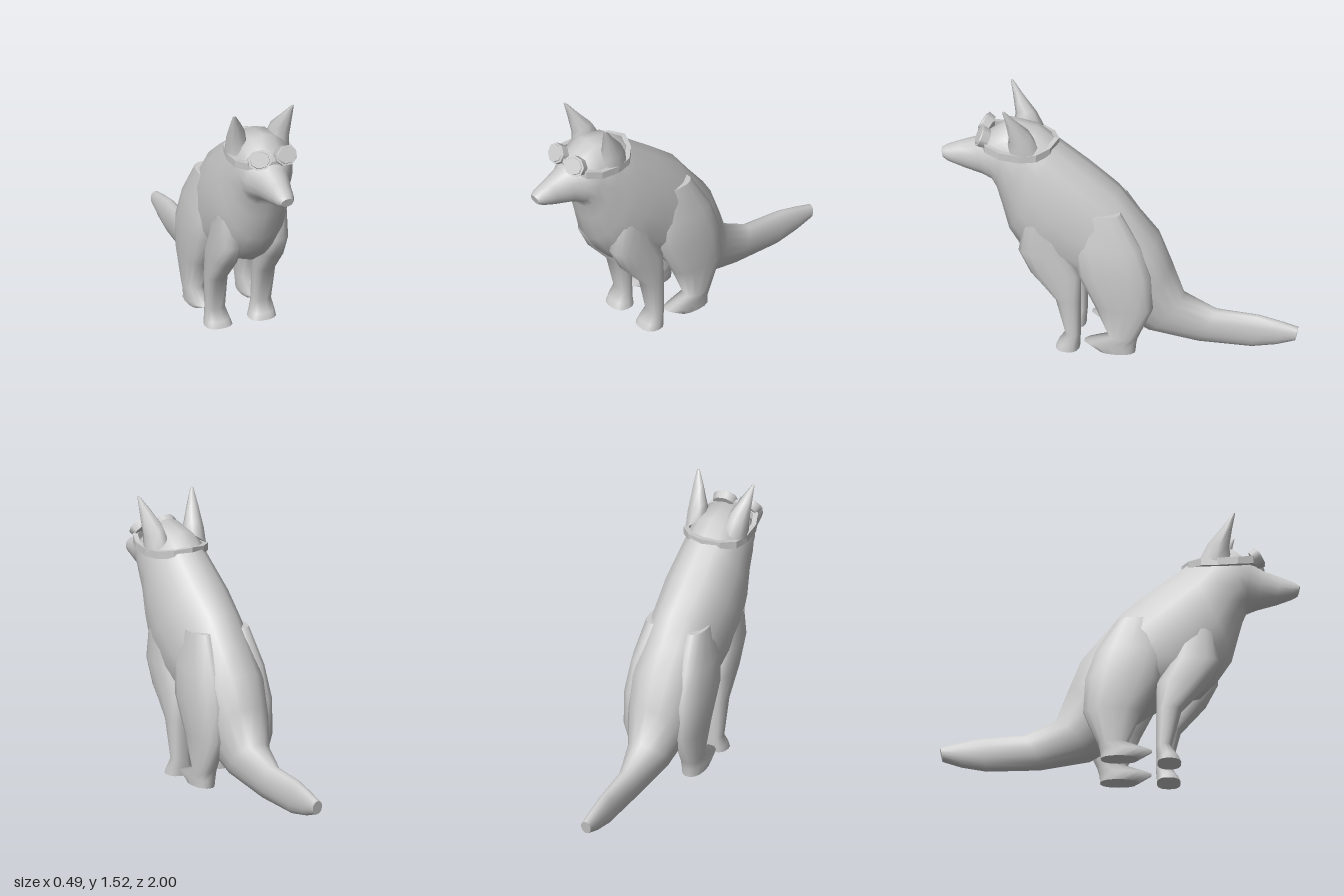
import * as THREE from 'three';

const SEG = 14;
const material = new THREE.MeshStandardMaterial({ color: 0xcccccc, side: THREE.DoubleSide });
const vec = (a) => new THREE.Vector3(...a);

// Skin over rings { c, u, v }: centre and two half-axes; power < 1 squares the ring off
function loft(name, rings, power = 0.9, seg = SEG) {
  const pos = [], idx = [];
  const bend = (t) => Math.sign(t) * Math.pow(Math.abs(t), power);
  const addRing = ({ c, u, v }) => {
    for (let j = 0; j < seg; j++) {
      const a = (j / seg) * Math.PI * 2;
      const p = vec(c).addScaledVector(vec(u), bend(Math.cos(a))).addScaledVector(vec(v), bend(Math.sin(a)));
      pos.push(p.x, p.y, p.z);
    }
  };
  rings.forEach(addRing);
  for (let i = 0; i < rings.length - 1; i++) {
    for (let j = 0; j < seg; j++) {
      const a = i * seg + j, b = i * seg + ((j + 1) % seg);
      idx.push(a, a + seg, b, b, a + seg, b + seg);
    }
  }
  // End caps with their own vertices
  [rings[0], rings[rings.length - 1]].forEach((ring, end) => {
    const base = pos.length / 3;
    addRing(ring);
    pos.push(...ring.c);
    for (let j = 0; j < seg; j++) {
      const a = base + j, b = base + ((j + 1) % seg);
      if (end) idx.push(base + seg, b, a);
      else idx.push(base + seg, a, b);
    }
  });
  const g = new THREE.BufferGeometry();
  g.setAttribute('position', new THREE.Float32BufferAttribute(pos, 3));
  g.setIndex(idx);
  g.computeVertexNormals();
  return named(name, g);
}

function named(name, geometry) {
  const mesh = new THREE.Mesh(geometry, material);
  mesh.name = name;
  return mesh;
}

// Ring from a point on the back line to one on the belly line: [topZ, topY, bottomZ, bottomY, halfWidth]
const spineRing = ([zt, yt, zb, yb, w]) => ({
  c: [0, (yt + yb) / 2, (zt + zb) / 2], u: [w, 0, 0], v: [0, (yt - yb) / 2, (zt - zb) / 2],
});
// The body's v axis points up, the legs' v axis points forward
// Ring across a leg: [y, innerX, outerX, backZ, frontZ, frontLift]
const legRing = (side) => ([y, xi, xo, zb, zf, lift = 0]) => ({
  c: [side * (xi + xo) / 2, y, (zb + zf) / 2], u: [(xo - xi) / 2, 0, 0], v: [0, lift, (zf - zb) / 2],
});

// Nose to tail tip
const BODY = [
  [1.0, 1.15, 0.985, 1.095, 0.035],
  [0.975, 1.168, 0.955, 1.078, 0.052],
  [0.9, 1.2, 0.87, 1.045, 0.068],
  [0.8, 1.235, 0.76, 1.015, 0.095],
  [0.73, 1.28, 0.7, 0.995, 0.14],
  [0.62, 1.365, 0.685, 0.95, 0.165],
  [0.46, 1.335, 0.66, 0.85, 0.182],
  [0.35, 1.25, 0.62, 0.69, 0.2],
  [0.17, 1.11, 0.55, 0.58, 0.22],
  [0.0, 0.97, 0.46, 0.48, 0.21],
  [-0.11, 0.82, 0.25, 0.42, 0.205],
  [-0.22, 0.68, 0.1, 0.32, 0.2],
  [-0.29, 0.5, 0.0, 0.19, 0.175],
  [-0.36, 0.31, -0.16, 0.085, 0.12],
  [-0.54, 0.228, -0.44, 0.022, 0.06],
  [-0.78, 0.21, -0.74, 0.01, 0.045],
  [-0.9, 0.18, -0.88, 0.035, 0.038],
  [-1.0, 0.15, -0.985, 0.07, 0.03],
];
const FRONT_LEG = [
  [0.004, 0.05, 0.21, 0.205, 0.34],
  [0.04, 0.062, 0.205, 0.205, 0.325],
  [0.1, 0.08, 0.195, 0.2, 0.285],
  [0.32, 0.08, 0.205, 0.2, 0.34],
  [0.48, 0.065, 0.212, 0.2, 0.48],
  [0.62, 0.06, 0.212, 0.27, 0.55],
  [0.8, 0.08, 0.205, 0.33, 0.52],
];
const HIND_LEG = [
  [0.015, 0.1, 0.215, -0.11, 0.1],
  [0.065, 0.09, 0.22, -0.115, 0.18],
  [0.11, 0.1, 0.215, -0.125, 0.04],
  [0.3, 0.08, 0.23, -0.21, 0.12],
  [0.5, 0.05, 0.243, -0.2, 0.22],
  [0.68, 0.05, 0.225, -0.14, 0.25],
  [0.88, 0.06, 0.18, -0.02, 0.2],
];

// Ear: wide, tilted base tapering to a forward tip
const earRings = (s) => [
  { c: [s * 0.125, 1.27, 0.53], u: [0.06, -s * 0.045, 0], v: [0, 0, 0.085] },
  { c: [s * 0.133, 1.34, 0.545], u: [0.054, -s * 0.03, 0], v: [0, -0.01, 0.06] },
  { c: [s * 0.155, 1.44, 0.592], u: [0.032, -s * 0.01, 0], v: [0, 0, 0.03] },
  { c: [s * 0.174, 1.52, 0.631], u: [0.008, 0, 0], v: [0, 0, 0.007] },
];

// Strap: rectangular section swept round the head
function strap() {
  const half = [[0, 1.25, 0.355], [0.09, 1.235, 0.39], [0.155, 1.225, 0.455], [0.17, 1.22, 0.54],
    [0.166, 1.23, 0.65], [0.135, 1.25, 0.73], [0.07, 1.265, 0.755], [0, 1.27, 0.76]];
  const path = [...half, ...half.slice(1, -1).reverse().map(([x, y, z]) => [-x, y, z])];
  const n = path.length, pos = [], idx = [];
  path.forEach(([x, y, z], i) => {
    const a = path[(i + n - 1) % n], b = path[(i + 1) % n];
    const out = new THREE.Vector3(-(b[2] - a[2]), 0, b[0] - a[0]).normalize().multiplyScalar(-0.014);
    for (const [o, h] of [[1, -0.022], [1, 0.022], [-1, 0.022], [-1, -0.022]])
      pos.push(x + out.x * o, y + h, z + out.z * o);
    for (let k = 0; k < 4; k++) {
      const p = i * 4 + k, q = i * 4 + ((k + 1) % 4), r = ((i + 1) % n) * 4;
      idx.push(p, q, r + k, q, r + ((k + 1) % 4), r + k);
    }
  });
  const g = new THREE.BufferGeometry();
  g.setAttribute('position', new THREE.Float32BufferAttribute(pos, 3));
  g.setIndex(idx);
  const flat = g.toNonIndexed();
  flat.computeVertexNormals();
  return named('goggleStrap', flat);
}

// Goggle eyepiece: eight-sided rim with a raised lens, tilted up and outward
function eyepiece(side) {
  const group = new THREE.Group();
  group.name = side > 0 ? 'leftEyepiece' : 'rightEyepiece';
  const rim = new THREE.CylinderGeometry(0.064, 0.058, 0.045, 8).rotateY(Math.PI / 8).rotateX(Math.PI / 2);
  const lens = new THREE.CylinderGeometry(0.05, 0.054, 0.01, 8).rotateY(Math.PI / 8).rotateX(Math.PI / 2);
  lens.translate(0, 0, 0.025);
  group.add(named('rim', rim), named('lens', lens));
  group.scale.set(1.1, 0.92, 1);
  group.rotation.set(-0.5, side * 0.16, -side * 0.1, 'YXZ');
  group.position.set(side * 0.076, 1.286, 0.757);
  return group;
}

export function createModel() {
  const dog = new THREE.Group();
  dog.name = 'sittingDog';
  dog.add(loft('bodyHeadAndTail', BODY.map(spineRing), 0.95, 16));
  for (const side of [1, -1]) {
    const tag = side > 0 ? 'left' : 'right';
    dog.add(loft(tag + 'FrontLeg', FRONT_LEG.map(legRing(side)), 0.8));
    dog.add(loft(tag + 'HindLeg', HIND_LEG.map(legRing(side)), 0.85));
    dog.add(loft(tag + 'Ear', earRings(side), 1, 8));
    dog.add(eyepiece(side));
  }
  dog.add(strap());
  // Nose bridge joining the eyepieces
  const bridge = named('goggleBridge', new THREE.BoxGeometry(0.05, 0.022, 0.03));
  bridge.position.set(0, 1.278, 0.765);
  bridge.rotation.x = -0.5;
  dog.add(bridge);
  return dog;
}
